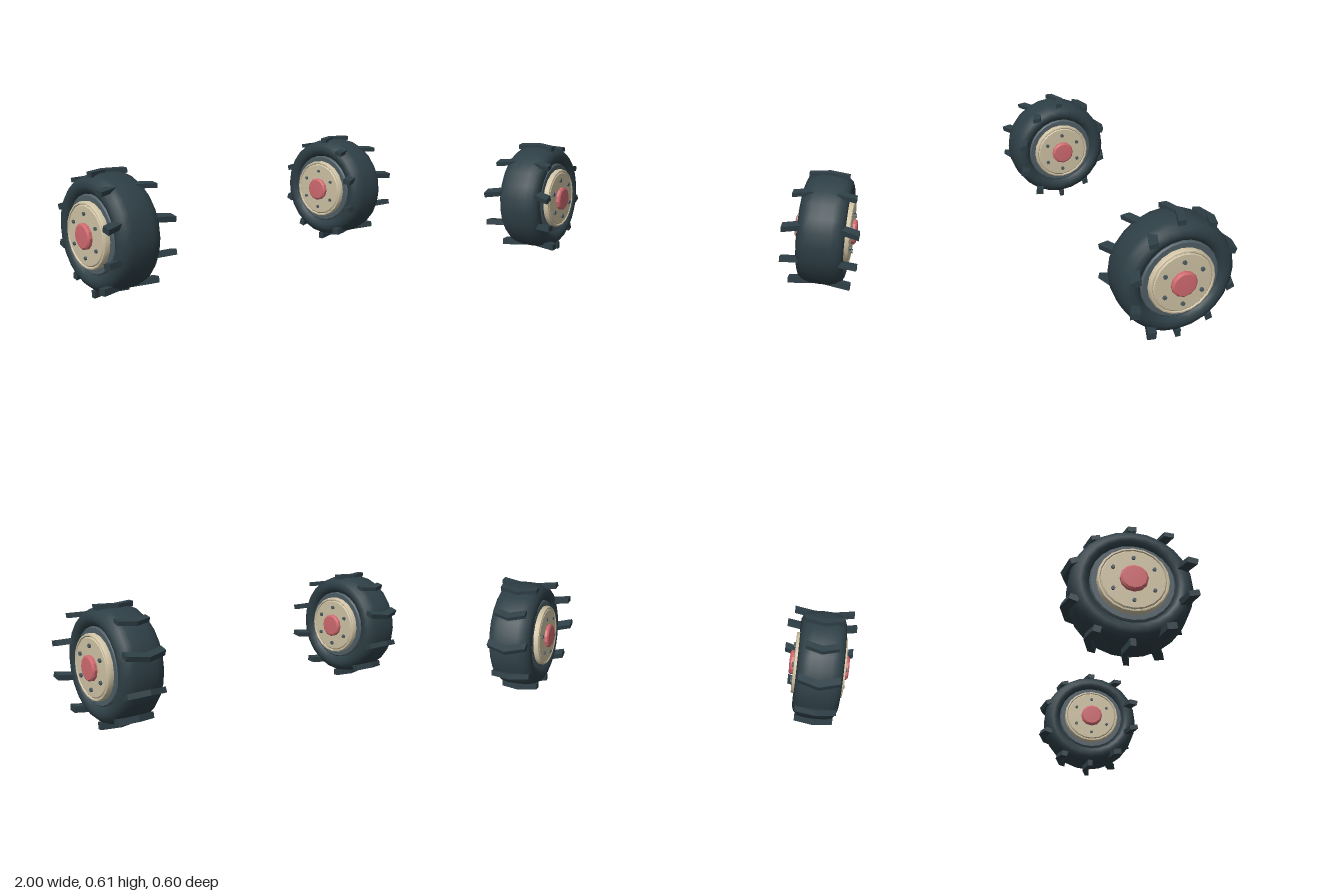
import * as THREE from 'three';
import { toCreasedNormals } from 'three/addons/utils/BufferGeometryUtils.js';

const mat = (name, color) => {
  const m = new THREE.MeshStandardMaterial({ color });
  m.name = name;
  return m;
};

const AXLE_Y = 0.311, AXLE_Z = 0.015;

// Solid of revolution around the x axle; points are [radius, offset along axle], outer side upward
function revolve(points, segments, crease) {
  const g = new THREE.LatheGeometry(points.map(([r, x]) => new THREE.Vector2(r, x)), segments);
  g.rotateZ(-Math.PI / 2);
  return toCreasedNormals(g, crease);
}

// Closed symmetric profile: given the +x half from the tread inward, mirror it
const mirrored = half => [...half.map(([r, x]) => [r, -x]).reverse(), ...half];

// V-shaped tread bar lying flat, apex toward -z, centred on its own depth
function chevron({ half, slope, depth, thick }) {
  const dz = half * slope, z0 = -(dz + depth) / 2;
  const s = new THREE.Shape();
  s.moveTo(0, -z0 - 0);
  s.lineTo(-half, -z0 - dz);
  s.lineTo(-half, -z0 - dz - depth);
  s.lineTo(0, -z0 - depth);
  s.lineTo(half, -z0 - dz - depth);
  s.lineTo(half, -z0 - dz);
  s.closePath();
  const g = new THREE.ExtrudeGeometry(s, { depth: thick, bevelEnabled: false });
  g.translate(0, 0, -thick / 2);
  g.rotateX(-Math.PI / 2);
  return g;
}

// Tread bars: centre height, centre depth, half width, arm slope, bar depth, thickness, tilt
const BARS = [
  [0.597, 0.000, 0.100, 0.34, 0.038, 0.025, 0],
  [0.545, 0.148, 0.155, 0.36, 0.045, 0.022, 0.12],
  [0.401, 0.236, 0.187, 0.38, 0.048, 0.028, 0.2],
  [0.222, 0.236, 0.187, 0.38, 0.048, 0.028, -0.2],
  [0.076, 0.146, 0.155, 0.36, 0.045, 0.032, -0.12],
  [0.018, 0.000, 0.100, 0.25, 0.026, 0.036, 0],
  [0.076, -0.157, 0.100, 0.30, 0.034, 0.032, 0.25],
  [0.222, -0.259, 0.105, 0.32, 0.042, 0.028, 0.35],
  [0.401, -0.259, 0.105, 0.32, 0.042, 0.028, -0.35],
  [0.545, -0.162, 0.085, 0.34, 0.040, 0.022, -0.22],
];

export function createModel() {
  const rubber = mat('dark rubber', 0x2e3f46);
  const steel = mat('grey steel', 0x4f5e66);
  const cream = mat('cream paint', 0xcfc2a4);
  const red = mat('soft red', 0xd06a6f);

  const tyreGeo = revolve(mirrored([
    [0.286, 0], [0.284, 0.055], [0.276, 0.088], [0.258, 0.108], [0.235, 0.117],
    [0.215, 0.113], [0.2, 0.1], [0.19, 0.08], [0.18, 0.06],
  ]), 24, 0.9);
  const rimGeo = revolve(mirrored([[0.194, 0.098], [0.188, 0.104], [0, 0.104]]), 24, 0.5);
  const discGeo = revolve(mirrored([
    [0.164, 0.1], [0.164, 0.124], [0.16, 0.131], [0.153, 0.132], [0.149, 0.127], [0.143, 0.132], [0, 0.134],
  ]), 20, 0.6);
  const hubGeo = revolve(mirrored([[0.064, 0.13], [0.064, 0.147], [0.055, 0.154], [0, 0.156]]), 12, 0.5);
  const boltGeo = toCreasedNormals(new THREE.CylinderGeometry(0.009, 0.011, 0.282, 6), 0.3);
  boltGeo.rotateZ(Math.PI / 2);
  const barGeos = BARS.map(([, , half, slope, depth, thick]) => chevron({ half, slope, depth, thick }));

  function wheel(name) {
    const g = new THREE.Group();
    g.name = name;
    const add = (part, geo, material, y = AXLE_Y, z = AXLE_Z) => {
      const m = new THREE.Mesh(geo, material);
      m.name = part;
      m.position.set(0, y, z);
      g.add(m);
      return m;
    };
    add('tyre', tyreGeo, rubber);
    add('rim', rimGeo, steel);
    add('wheelDisc', discGeo, cream);
    add('hubCap', hubGeo, red);
    // Bolts run through the disc and show on both sides
    for (let i = 0; i < 6; i++) {
      const a = Math.PI / 2 + i * Math.PI / 3;
      add('bolt', boltGeo, steel, AXLE_Y + 0.107 * Math.sin(a), AXLE_Z + 0.107 * Math.cos(a));
    }
    BARS.forEach(([y, z, , , , , tilt], i) => {
      add('treadBar', barGeos[i], rubber, y, z).rotation.x = tilt;
    });
    return g;
  }

  const model = new THREE.Group();
  model.name = 'wheelPair';
  for (const side of [-1, 1]) {
    const w = wheel(side > 0 ? 'leftWheel' : 'rightWheel');
    w.position.x = side * 0.813;
    model.add(w);
  }
  return model;
}
